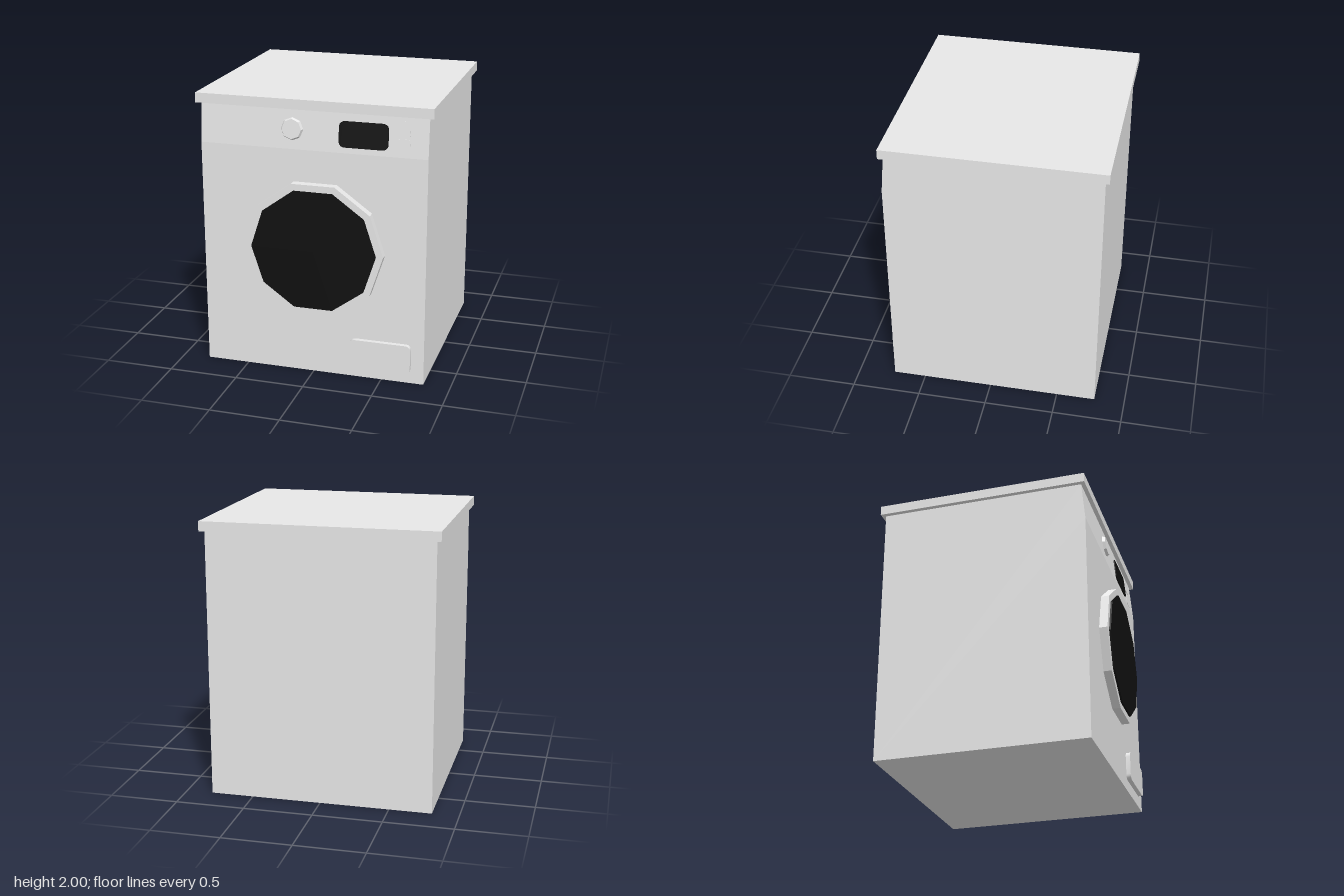
import * as THREE from 'three';
import { toCreasedNormals } from 'three/addons/utils/BufferGeometryUtils.js';

const enamel = new THREE.MeshStandardMaterial({ color: 0xe7e7e7 });
enamel.name = 'white enamel';
const glass = new THREE.MeshStandardMaterial({ color: 0x101010 });
glass.name = 'black glass';

function addPart(parent, name, geometry, material, x, y, z) {
  const mesh = new THREE.Mesh(toCreasedNormals(geometry, 0.5), material);
  mesh.name = name;
  mesh.position.set(x, y, z);
  parent.add(mesh);
  return mesh;
}

// Rounded plate centred in x and y, rising from z = 0
function plate(w, h, r, depth) {
  const a = w / 2, b = h / 2, s = new THREE.Shape();
  s.moveTo(-a + r, -b);
  s.lineTo(a - r, -b).quadraticCurveTo(a, -b, a, -b + r);
  s.lineTo(a, b - r).quadraticCurveTo(a, b, a - r, b);
  s.lineTo(-a + r, b).quadraticCurveTo(-a, b, -a, b - r);
  s.lineTo(-a, -b + r).quadraticCurveTo(-a, -b, -a + r, -b);
  return new THREE.ExtrudeGeometry(s, { depth, bevelEnabled: false, curveSegments: 5 });
}

// Faceted disc facing +z, rising from z = 0, with a corner on the x axis
function disc(rFront, rBack, depth, sides) {
  return new THREE.CylinderGeometry(rFront, rBack, depth, sides, 1, false, Math.PI / 2)
    .rotateX(Math.PI / 2).translate(0, 0, depth / 2);
}

export function createModel() {
  const model = new THREE.Group();
  model.name = 'washingMachine';

  // Cabinet: side profile with a sloping control fascia, extruded across x
  const profile = new THREE.Shape([
    [-0.78, 0], [0.735, 0], [0.735, 1.65], [0.71, 1.93], [-0.78, 1.93],
  ].map(([z, y]) => new THREE.Vector2(z, y)));
  const cabinet = new THREE.ExtrudeGeometry(profile, { depth: 1.615, bevelEnabled: false })
    .rotateY(-Math.PI / 2).translate(0.8075, 0, 0);
  // A small crease angle keeps the shallow fascia edge crisp
  const body = addPart(model, 'cabinet', cabinet, enamel, 0, 0, 0);
  body.geometry = toCreasedNormals(cabinet, 0.04);

  // Worktop
  addPart(model, 'worktop', new THREE.BoxGeometry(1.68, 0.07, 1.55), enamel, 0, 1.965, -0.035);

  // Door
  addPart(model, 'doorFrame', disc(0.5, 0.5, 0.07, 10), enamel, 0.02, 0.945, 0.725);
  addPart(model, 'doorGlass', disc(0.45, 0.45, 0.015, 10), glass, 0.02, 0.945, 0.793);

  // Filter hatch
  addPart(model, 'filterHatch', plate(0.44, 0.21, 0.04, 0.04), enamel, 0.495, 0.19, 0.727);

  // Controls, laid on the sloping fascia
  const controls = new THREE.Group();
  controls.name = 'controls';
  controls.position.set(0, 1.79, 0.7225);
  controls.rotation.x = -Math.atan(0.025 / 0.28);
  model.add(controls);
  addPart(controls, 'knob', disc(0.07, 0.08, 0.02, 8), enamel, -0.145, 0, 0);
  addPart(controls, 'display', plate(0.345, 0.18, 0.045, 0.008), glass, 0.36, -0.01, 0);
  for (const y of [0.055, -0.065]) {
    addPart(controls, 'button', plate(0.09, 0.1, 0.015, 0.003), enamel, 0.635, y, 0);
  }
  return model;
}
